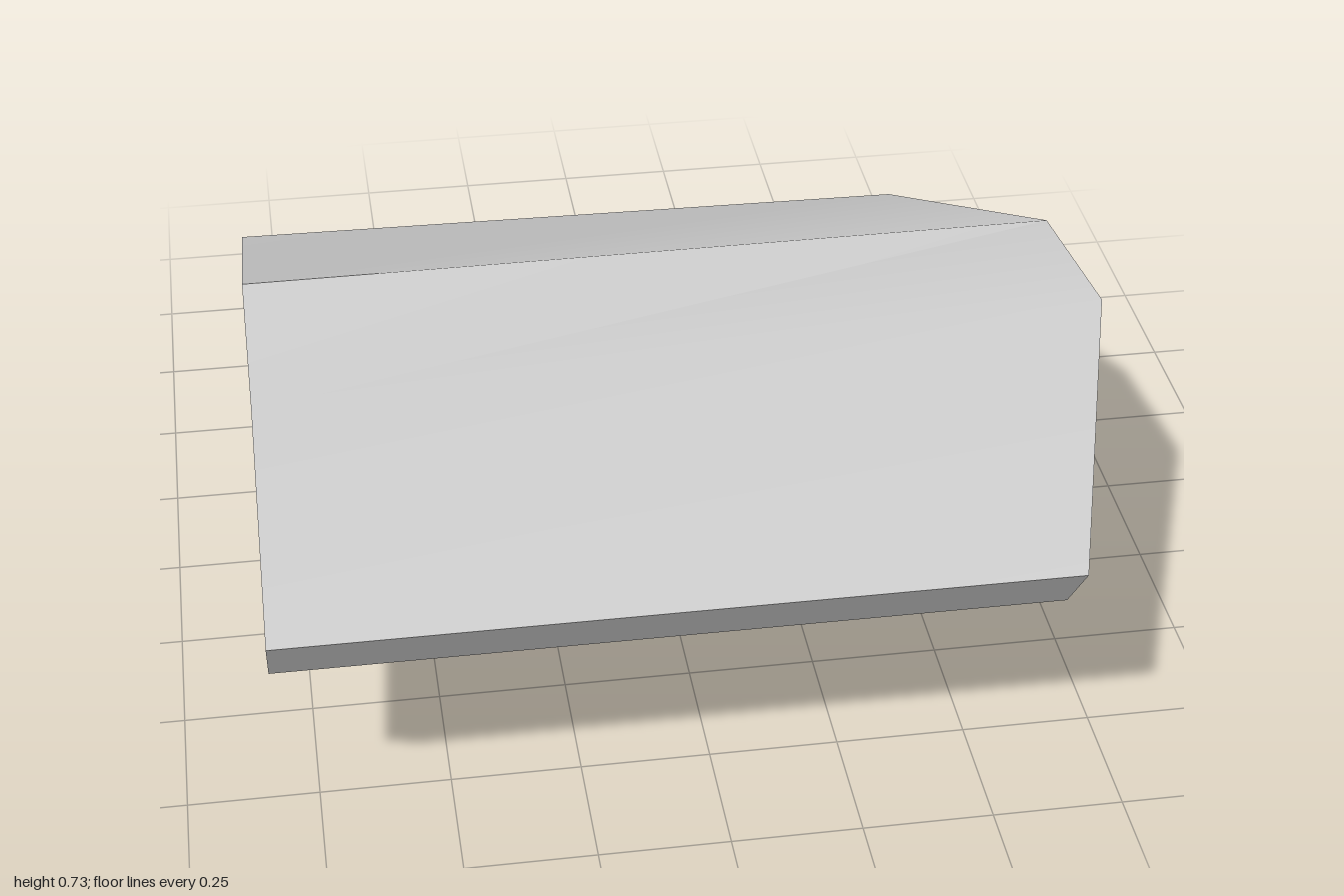
import * as THREE from 'three';
import { toCreasedNormals } from 'three/addons/utils/BufferGeometryUtils.js';

// Skin a run of equal-sized cross-section rings and cap both ends
function loft(rings, crease) {
  const pos = [];
  const tri = (a, b, c) => pos.push(...a, ...b, ...c);
  const n = rings[0].length;
  for (let i = 0; i < rings.length - 1; i++) {
    const a = rings[i], b = rings[i + 1];
    for (let j = 0; j < n; j++) {
      const k = (j + 1) % n;
      tri(a[j], a[k], b[k]);
      tri(a[j], b[k], b[j]);
    }
  }
  const first = rings[0], last = rings[rings.length - 1];
  for (let j = 1; j < n - 1; j++) {
    tri(first[0], first[j + 1], first[j]);
    tri(last[0], last[j], last[j + 1]);
  }
  const geo = new THREE.BufferGeometry();
  geo.setAttribute('position', new THREE.Float32BufferAttribute(pos, 3));
  return toCreasedNormals(geo, crease);
}

export function createModel() {
  const group = new THREE.Group();
  const material = new THREE.MeshStandardMaterial({ color: 0xcccccc });

  // Bent slab, back to front; each ring: bottom left, bottom right, top right, top left
  const slabRings = [
    [[-0.82, 0.18, -0.93], [0.72, 0.14, -0.97], [0.72, 0.18, -1], [-0.82, 0.225, -0.95]],
    [[-0.82, 0.53, 0.06], [0.8, 0.53, 0.06], [0.8, 0.71, 0.04], [-0.82, 0.705, 0.04]],
    [[-0.82, 0.495, 0.33], [0.82, 0.55, 0.38], [0.82, 0.73, 0.38], [-0.82, 0.635, 0.38]],
    [[-0.825, 0.41, 0.89], [0.64, 0.41, 0.89], [0.64, 0.55, 1], [-0.825, 0.55, 1]],
  ];
  const slab = new THREE.Mesh(loft(slabRings, 0.65), material);
  slab.name = 'bentSlab';
  group.add(slab);

  // Octagonal struts under the rear slope, tapering up into the slab
  const tilt = Math.atan2(0.36, 0.86);
  const ring = (y, z, r) => Array.from({ length: 8 }, (_, i) => {
    const a = (i / 8) * Math.PI * 2;
    const up = r * Math.sin(a);
    return [r * Math.cos(a), y + up * Math.cos(tilt), z - up * Math.sin(tilt)];
  });
  const strutGeo = loft([
    ring(0.101, -0.842, 0.11),
    ring(0.46, 0.02, 0.11),
    ring(0.59, 0.37, 0.045),
  ], 0.9);
  [-0.52, -0.035, 0.45].forEach((x, i) => {
    const strut = new THREE.Mesh(strutGeo, material);
    strut.name = 'strut' + (i + 1);
    strut.position.x = x;
    group.add(strut);
  });

  return group;
}
